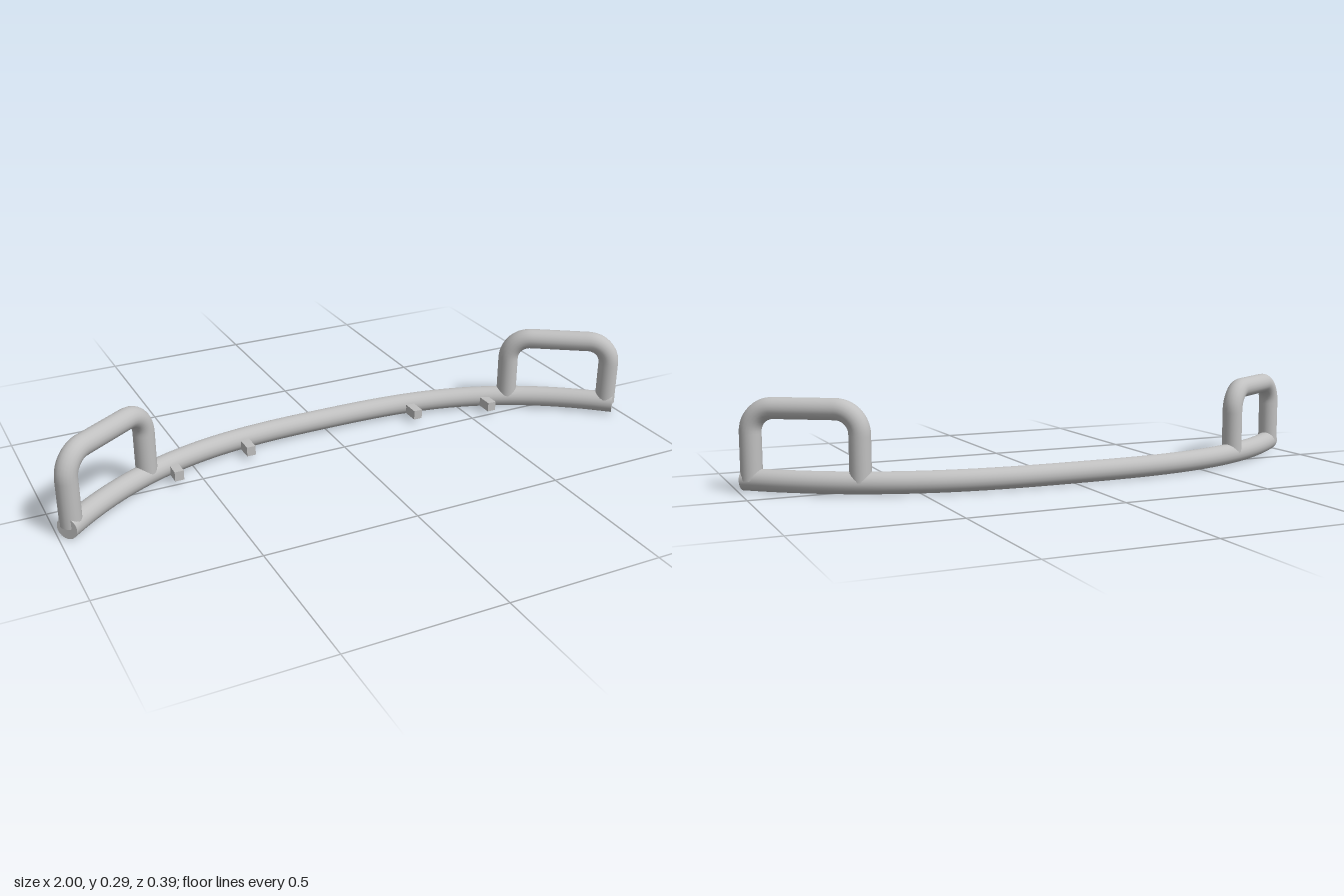
import * as THREE from 'three';

const SIDES = 20;

export function createModel() {
  const model = new THREE.Group();
  model.name = 'curvedBar';
  const metal = new THREE.MeshStandardMaterial({ color: 0xc0c0c0 });
  metal.name = 'light grey metal';

  // Round pipe along a curve, closed by a flat disc at each end
  function pipe(name, curve, radius, segments) {
    const group = new THREE.Group();
    group.name = name;
    const tube = new THREE.Mesh(new THREE.TubeGeometry(curve, segments, radius, SIDES), metal);
    tube.name = name + 'Tube';
    group.add(tube);
    for (const t of [0, 1]) {
      const cap = new THREE.Mesh(new THREE.CircleGeometry(radius, SIDES), metal);
      cap.name = name + 'Cap';
      cap.position.copy(curve.getPointAt(t));
      const outward = curve.getTangentAt(t).multiplyScalar(t ? 1 : -1);
      cap.quaternion.setFromUnitVectors(new THREE.Vector3(0, 0, 1), outward);
      group.add(cap);
    }
    model.add(group);
  }

  // Main bar: nearly straight in the middle, sweeping forward at the ends
  const barZ = (x) => -0.16 + 0.328 * Math.pow(Math.abs(x) / 0.975, 2.8);
  const points = [];
  for (let i = -16; i <= 16; i++) {
    const x = (0.975 * i) / 16;
    points.push(new THREE.Vector3(x, 0.035, barZ(x)));
  }
  pipe('mainBar', new THREE.CatmullRomCurve3(points), 0.035, 80);

  for (const side of [1, -1]) {
    // Hoop handle standing on the swept end of the bar
    const inner = new THREE.Vector3(side * 0.668, 0, -0.047);
    const outer = new THREE.Vector3(side * 0.957, 0, 0.147);
    const length = inner.distanceTo(outer);
    const at = (d, y) => inner.clone().lerp(outer, d / length).setY(y);
    const top = 0.259, r = 0.075, k = r * 0.45;
    const path = new THREE.CurvePath();
    path.add(new THREE.LineCurve3(at(0, 0.035), at(0, top - r)));
    path.add(new THREE.CubicBezierCurve3(at(0, top - r), at(0, top - k), at(k, top), at(r, top)));
    path.add(new THREE.LineCurve3(at(r, top), at(length - r, top)));
    path.add(new THREE.CubicBezierCurve3(
      at(length - r, top), at(length - k, top), at(length, top - k), at(length, top - r)));
    path.add(new THREE.LineCurve3(at(length, top - r), at(length, 0.035)));
    pipe(side > 0 ? 'leftHandle' : 'rightHandle', path, 0.034, 56);

    // Square mounting pegs on the front of the bar
    for (const [x, front] of [[0.312, -0.055], [0.578, 0.002]]) {
      const back = barZ(x) - 0.015;
      const peg = new THREE.Mesh(new THREE.BoxGeometry(0.03, 0.032, front - back), metal);
      peg.name = 'mountingPeg';
      peg.position.set(side * x, 0.03, (front + back) / 2);
      model.add(peg);
    }
  }
  return model;
}
